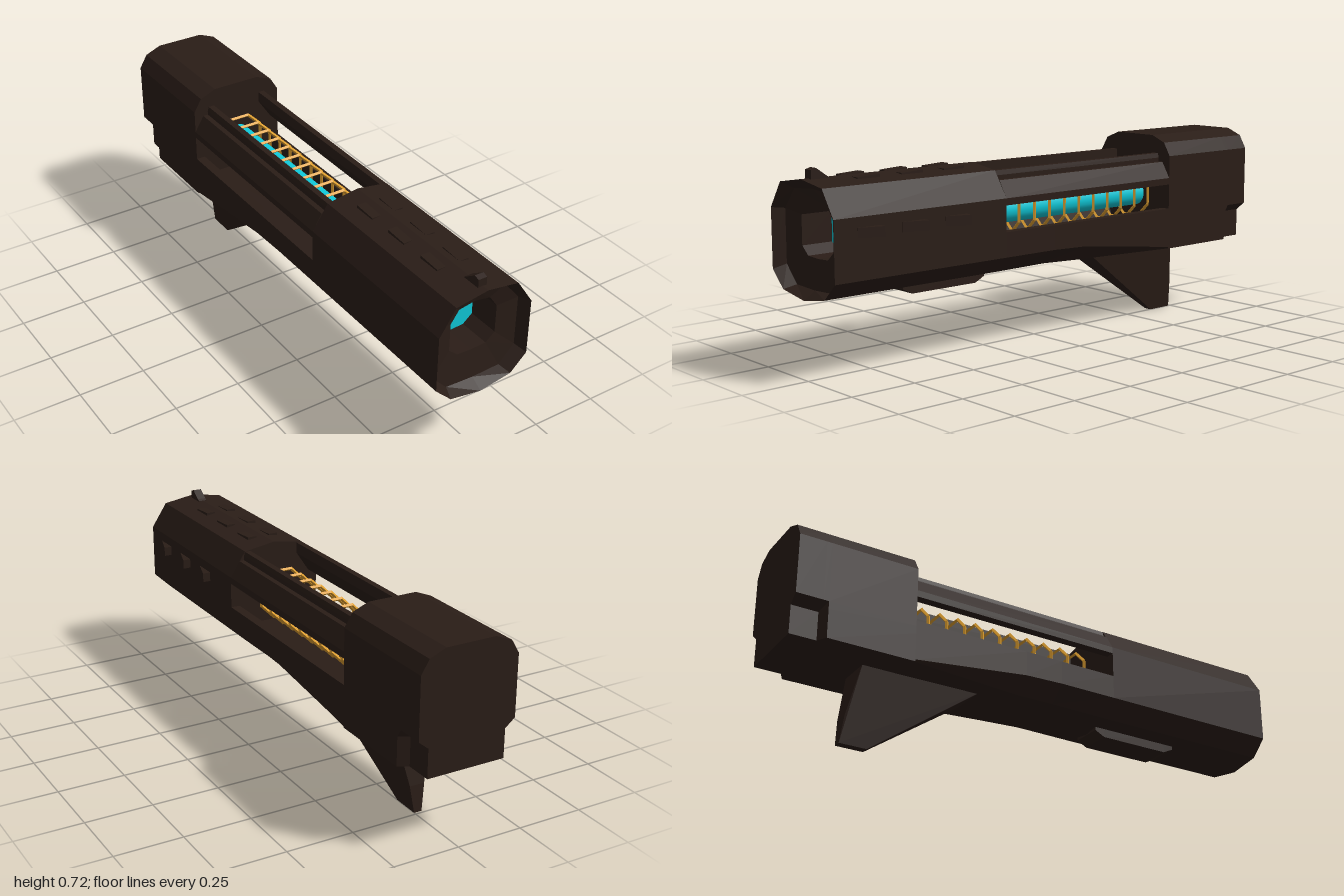
import * as THREE from 'three';
import { ConvexGeometry } from 'three/addons/geometries/ConvexGeometry.js';

const mat = (color, flat = true) => new THREE.MeshStandardMaterial({ color, flatShading: flat });
const bodyMat = mat(0x2a1d17), goldMat = mat(0xe0a030), glowMat = mat(0x10c8d8, false);

// Right half of an outline, listed bottom to top, mirrored to a closed outline
const sym = (half) => [
  ...half,
  ...half.filter((p) => p[0] > 0).reverse().map(([x, y]) => [-x, y]),
];
const flip = (outline) => outline.map(([x, y]) => [-x, y]).reverse();
const rect = (x0, x1, y0, y1) => [[x0, y0], [x1, y0], [x1, y1], [x0, y1]];

// Joins [z, outline] sections, listed front to back, into a solid
function loft(sections, frontCap = true, backCap = true) {
  const pos = [];
  const put = (s, i) => pos.push(s[1][i][0], s[1][i][1], s[0]);
  for (let k = 0; k + 1 < sections.length; k++) {
    const A = sections[k], B = sections[k + 1], n = A[1].length;
    for (let i = 0; i < n; i++) {
      const j = (i + 1) % n;
      put(A, i); put(B, i); put(B, j);
      put(A, i); put(B, j); put(A, j);
    }
  }
  const cap = (s, back) => {
    const pts = s[1].map(([x, y]) => new THREE.Vector2(x, y));
    for (const f of THREE.ShapeUtils.triangulateShape(pts, [])) {
      (back ? [f[0], f[2], f[1]] : f).forEach((i) => put(s, i));
    }
  };
  if (frontCap) cap(sections[0], false);
  if (backCap) cap(sections[sections.length - 1], true);
  const g = new THREE.BufferGeometry();
  g.setAttribute('position', new THREE.Float32BufferAttribute(pos, 3));
  g.computeVertexNormals();
  return g;
}

export function createModel() {
  const model = new THREE.Group();
  model.name = 'blaster';
  model.position.x = -0.015;
  const add = (name, geometry, material = bodyMat) => {
    const m = new THREE.Mesh(geometry, material);
    m.name = name;
    model.add(m);
    return m;
  };

  // Barrel shroud with funnel muzzle and throat
  const outer = sym([[0, 0.27], [0.123, 0.29], [0.185, 0.35], [0.185, 0.56], [0.123, 0.653], [0, 0.672]]);
  const funnel = sym([[0, 0.298], [0.108, 0.303], [0.168, 0.365], [0.168, 0.555], [0.108, 0.628], [0, 0.637]]);
  const throat = sym([[0, 0.402], [0.058, 0.405], [0.093, 0.435], [0.093, 0.54], [0.062, 0.585], [0, 0.595]]);
  add('barrel', loft([[0.82, throat], [0.94, throat], [0.955, funnel], [1, outer], [0.28, outer]], false, true));
  const lens = new THREE.Shape(throat.map(([x, y]) => new THREE.Vector2(x, y)));
  add('muzzleGlow', new THREE.ShapeGeometry(lens), glowMat).position.z = 0.821;

  // Front sight and underside rail
  const w = (hw, y0, y1) => rect(-hw, hw, y0, y1);
  add('frontSight', loft([
    [0.97, w(0.017, 0.65, 0.7)], [0.95, w(0.017, 0.65, 0.706)],
    [0.91, w(0.017, 0.65, 0.678)], [0.9, w(0.017, 0.65, 0.672)],
  ]));
  add('undersidePad', loft([
    [0.64, w(0.06, 0.267, 0.3)], [0.6, w(0.06, 0.247, 0.3)],
    [0.32, w(0.06, 0.247, 0.3)], [0.28, w(0.06, 0.267, 0.3)],
  ]));

  // Three rows of cooling vents: one wedge on the left side, two on top
  for (const z of [0.46, 0.64, 0.82]) {
    add('sideVent', loft([[z + 0.09, rect(0.17, 0.186, 0.49, 0.525)], [z, rect(0.17, 0.215, 0.49, 0.525)]]));
    for (const s of [-1, 1]) {
      add('topVent', loft([
        [z, rect(s * 0.045 - 0.018, s * 0.045 + 0.018, 0.65, 0.668)],
        [z - 0.09, rect(s * 0.045 - 0.018, s * 0.045 + 0.018, 0.65, 0.673)],
      ]));
    }
  }

  // Open middle: trough-shaped hull that squares off toward the rear
  const trough = (bottom, corner, side) =>
    sym([[0, bottom], corner, [0.185, side], [0.185, 0.44], [0.15, 0.44], [0.12, 0.36], [0, 0.36]]);
  add('lowerHull', loft([
    [0.28, trough(0.27, [0.123, 0.29], 0.35)],
    [0.05, trough(0.283, [0.123, 0.292], 0.35)],
    [-0.1, trough(0.283, [0.13, 0.287], 0.345)],
    [-0.55, trough(0.283, [0.18, 0.283], 0.29)],
  ]));

  // Upper rails leaving the side windows and the top slot open
  const rail = [[0.15, 0.535], [0.185, 0.535], [0.185, 0.56], [0.148, 0.62], [0.128, 0.62],
    [0.128, 0.635], [0.123, 0.652], [0.1, 0.652], [0.1, 0.61]];
  for (const outline of [rail, flip(rail)]) add('upperRail', loft([[0.28, outline], [-0.55, outline]]));

  // Glowing core and coil rings
  const core = add('energyCore', new THREE.CylinderGeometry(0.05, 0.05, 0.83, 20), glowMat);
  core.rotation.x = Math.PI / 2;
  core.position.set(0, 0.488, -0.135);
  const ringGeo = new THREE.TorusGeometry(0.098, 0.007, 4, 8).rotateZ(Math.PI / 8);
  for (let i = 0; i < 11; i++) {
    add('coilRing', ringGeo, goldMat).position.set(0, 0.488, 0.213 - i * 0.0743);
  }

  // Rear housing, with lower sides stepped in at the very back
  const block = (inset) => sym([[0, 0.283], [0.185 - inset, 0.283], [0.185 - inset, 0.39],
    [0.185, 0.42], [0.185, 0.645], [0.155, 0.695], [0.093, 0.72], [0, 0.72]]);
  add('rearHousing', loft([[-0.55, block(0)], [-0.88, block(0)], [-0.9, block(0.037)], [-1, block(0.037)]]));

  // Tapered grip
  const grip = [];
  for (const s of [-1, 1]) {
    for (const [x, y, z] of [[0.067, 0.29, -0.23], [0.067, 0.29, -0.69], [0.029, 0.1, -0.73],
      [0.015, 0, -0.74], [0.015, 0, -0.635]]) grip.push(new THREE.Vector3(s * x, y, z));
  }
  add('grip', new ConvexGeometry(grip));

  return model;
}
